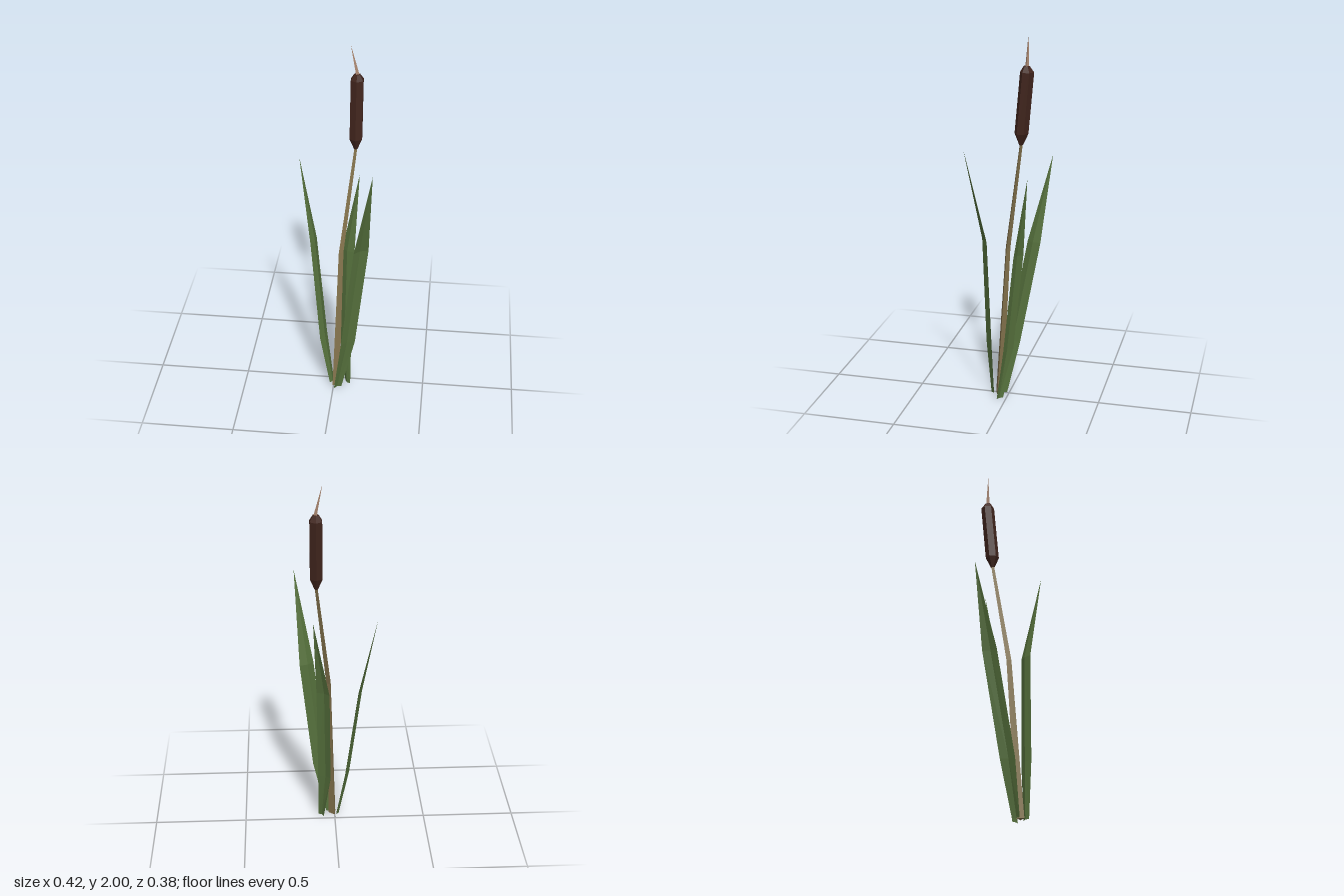
import * as THREE from 'three';

const material = (color, side = THREE.FrontSide) =>
  new THREE.MeshStandardMaterial({ color, side, flatShading: true, roughness: 0.9 });

function meshFrom(name, positions, index, mat) {
  const indexed = new THREE.BufferGeometry();
  indexed.setAttribute('position', new THREE.Float32BufferAttribute(positions, 3));
  indexed.setIndex(index);
  const geometry = indexed.toNonIndexed();
  geometry.computeVertexNormals();
  const mesh = new THREE.Mesh(geometry, mat);
  mesh.name = name;
  return mesh;
}

// Faceted body through level rings [x, y, z, radius], closed at both ends
function loft(name, rings, sides, start, mat) {
  const positions = [], index = [];
  for (const [x, y, z, r] of rings) {
    for (let i = 0; i < sides; i++) {
      const a = start + (i / sides) * Math.PI * 2;
      positions.push(x + r * Math.sin(a), y, z + r * Math.cos(a));
    }
  }
  const last = (rings.length - 1) * sides;
  for (let k = 0; k < last; k += sides) {
    for (let i = 0; i < sides; i++) {
      const a = k + i, b = k + (i + 1) % sides;
      index.push(a, b, b + sides, a, b + sides, a + sides);
    }
  }
  for (let i = 1; i < sides - 1; i++) {
    index.push(0, i + 1, i, last, last + i, last + i + 1);
  }
  return meshFrom(name, positions, index, mat);
}

// Folded blade: rows are [y, edge x, edge z, other edge x, other edge z];
// the crease sits off the middle by fold * (foldX, foldZ)
function leaf(name, rows, tip, [foldX, foldZ], mat) {
  const positions = [], index = [];
  rows.forEach(([y, x0, z0, x1, z1], k) => {
    const fold = k === 0 ? 0.007 : 0.010;
    positions.push(x0, y, z0);
    positions.push((x0 + x1) / 2 + foldX * fold, y, (z0 + z1) / 2 + foldZ * fold);
    positions.push(x1, y, z1);
  });
  positions.push(...tip);
  const end = rows.length * 3;
  for (let k = 0; k < end; k += 3) {
    for (let i = k; i < k + 2; i++) {
      if (k + 3 < end) index.push(i, i + 1, i + 4, i, i + 4, i + 3);
      else index.push(i, i + 1, end);
    }
  }
  return meshFrom(name, positions, index, mat);
}

export function createModel() {
  const group = new THREE.Group();
  group.name = 'reedPlant';
  const green = material(0x55703c, THREE.DoubleSide);

  // Bent three-sided stem
  group.add(loft('stem', [
    [0.009, 0, 0.055, 0.024],
    [0.031, 0.86, 0.0, 0.015],
    [0.098, 1.46, -0.088, 0.009],
  ], 3, 1.44, material(0x85744d)));

  // Six-sided seed head with tapered ends
  group.add(loft('seedHead', [
    [0.098, 1.445, -0.087, 0.010],
    [0.098, 1.505, -0.089, 0.036],
    [0.099, 1.82, -0.117, 0.036],
    [0.099, 1.85, -0.115, 0.016],
  ], 6, 0, material(0x41251d)));

  // Thin spike on top
  group.add(loft('spike', [
    [0.100, 1.845, -0.116, 0.011],
    [0.067, 2.0, -0.116, 0.0005],
  ], 3, Math.PI / 2, material(0xa98670)));

  // Three leaves, creased toward the middle of the plant
  group.add(leaf('rightLeaf', [
    [0, -0.023, 0.05, -0.005, 0.012],
    [0.29, -0.08, 0.025, -0.05, -0.05],
    [0.85, -0.14, -0.07, -0.115, -0.145],
  ], [-0.21, 1.32, -0.19], [0.83, 0.55], green));

  group.add(leaf('leftLeaf', [
    [0, 0.005, 0.098, 0.045, 0.073],
    [0.32, 0.045, 0.114, 0.118, 0.067],
    [0.93, 0.11, 0.117, 0.185, 0.073],
  ], [0.208, 1.44, 0.188], [-0.6, -0.8], green));

  group.add(leaf('backLeaf', [
    [0, 0.092, 0.047, 0.062, 0.018],
    [0.28, 0.092, 0.01, 0.025, -0.03],
    [0.83, 0.1, -0.048, 0.032, -0.086],
  ], [0.117, 1.27, -0.125], [-0.6, 0.8], green));

  return group;
}
